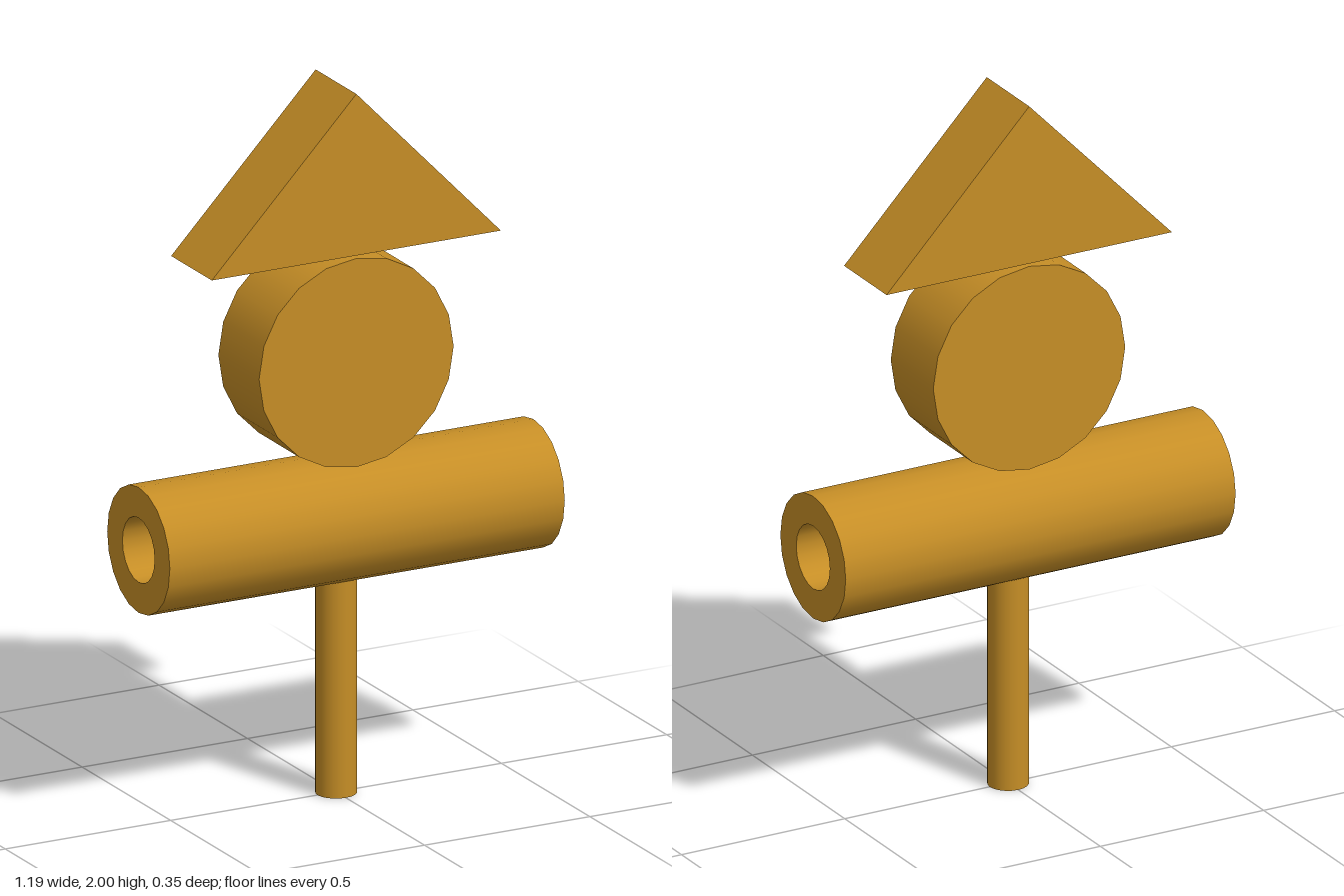
import * as THREE from 'three';
import { mergeGeometries } from 'three/addons/utils/BufferGeometryUtils.js';

const SIDES = 20;

// Hollow tube along y: each straight run of the profile is its own lathe, so rims stay sharp
function hollowTube(outer, inner, length) {
  const h = length / 2;
  const profile = [[outer, -h], [outer, h], [inner, h], [inner, -h]].map(([x, y]) => new THREE.Vector2(x, y));
  return mergeGeometries(profile.map((p, i) => new THREE.LatheGeometry([p, profile[(i + 1) % 4]], SIDES)));
}

export function createModel() {
  const group = new THREE.Group();
  const wood = new THREE.MeshStandardMaterial({ color: 0xc68e26 });
  wood.name = 'ochre';

  const add = (name, geometry, y = 0) => {
    const mesh = new THREE.Mesh(geometry, wood);
    mesh.name = name;
    mesh.position.y = y;
    group.add(mesh);
    return mesh;
  };

  // Upright post threaded through the stacked pieces
  add('post', new THREE.CylinderGeometry(0.056, 0.056, 1.6, SIDES), 0.8);

  // Horizontal hollow crossbar
  add('crossTube', hollowTube(0.177, 0.091, 1.194), 0.777).rotation.z = Math.PI / 2;

  // Disc facing the front
  add('disc', new THREE.CylinderGeometry(0.294, 0.294, 0.23, SIDES), 1.243).rotation.x = Math.PI / 2;

  // Triangular prism on top
  const triangle = new THREE.Shape([
    new THREE.Vector2(-0.437, 1.545),
    new THREE.Vector2(0.437, 1.545),
    new THREE.Vector2(0, 2),
  ]);
  const roof = new THREE.ExtrudeGeometry(triangle, { depth: 0.23, bevelEnabled: false });
  roof.translate(0, 0, -0.115);
  add('triangularRoof', roof);

  return group;
}
